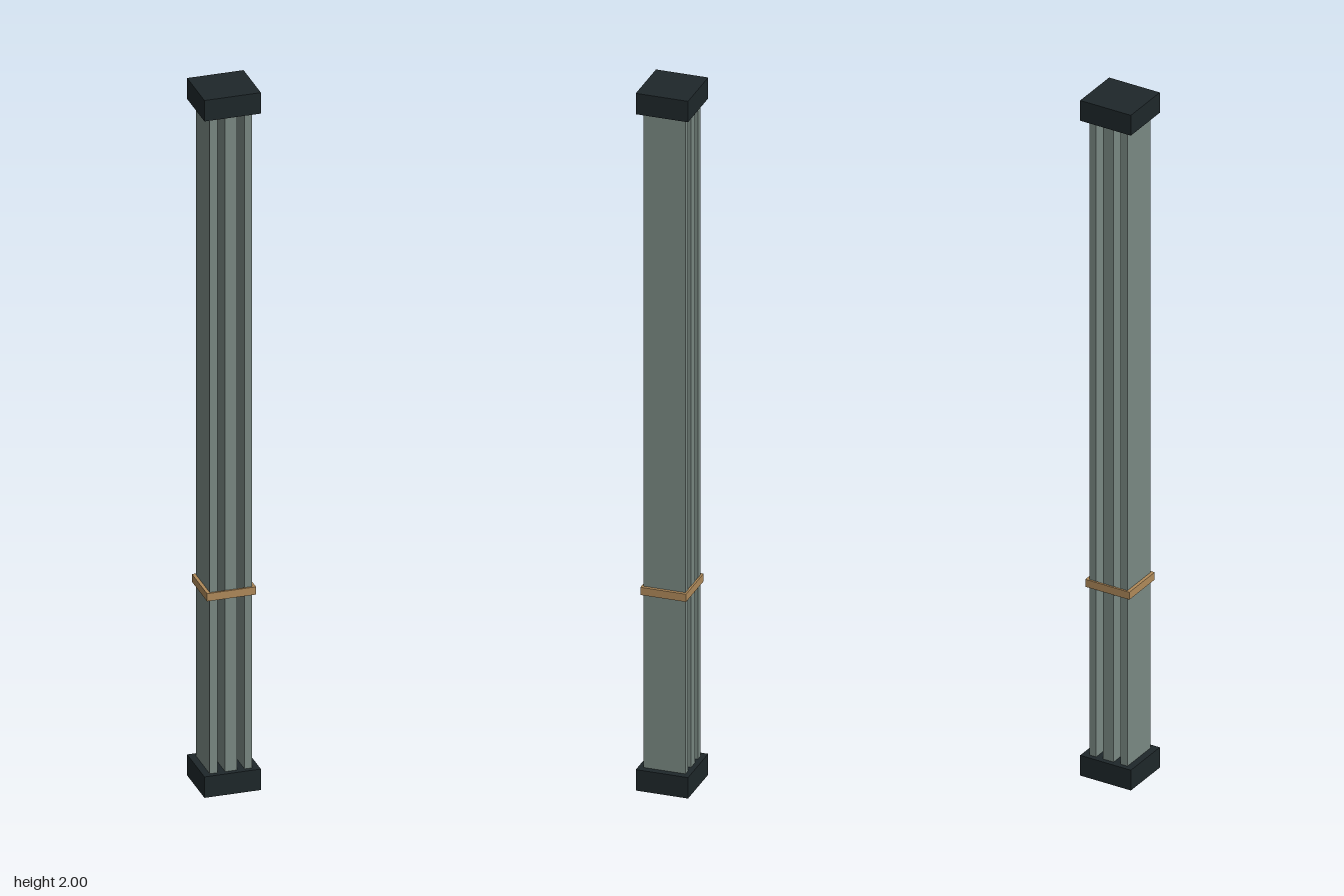
import * as THREE from 'three';

const paneMaterial = new THREE.MeshStandardMaterial({ color: 0x7a8983 });
const capMaterial = new THREE.MeshStandardMaterial({ color: 0x1e272a });
const bandMaterial = new THREE.MeshStandardMaterial({ color: 0xb08a5a });

function addBox(parent, name, material, size, position) {
  const mesh = new THREE.Mesh(new THREE.BoxGeometry(...size), material);
  mesh.name = name;
  mesh.position.set(...position);
  parent.add(mesh);
}

export function createModel() {
  const model = new THREE.Group();
  model.name = 'column';

  // End blocks
  const capHeight = 0.06;
  addBox(model, 'bottomCap', capMaterial, [0.154, capHeight, 0.144], [0, capHeight / 2, 0]);
  addBox(model, 'topCap', capMaterial, [0.154, capHeight, 0.144], [0, 2 - capHeight / 2, 0]);

  // Three upright panes with open gaps between them, set into the end blocks
  const panes = [['rightPane', -0.0475, 0.021], ['middlePane', 0, 0.032], ['leftPane', 0.0475, 0.021]];
  for (const [name, x, width] of panes) {
    addBox(model, name, paneMaterial, [width, 1.92, 0.116], [x, 1, 0]);
  }

  // Band wrapped around the panes
  const band = new THREE.Group();
  band.name = 'band';
  band.position.y = 0.569;
  model.add(band);
  for (const side of [-1, 1]) {
    addBox(band, side > 0 ? 'bandFront' : 'bandBack', bandMaterial, [0.134, 0.022, 0.006], [0, 0, side * 0.06]);
    addBox(band, side > 0 ? 'bandLeft' : 'bandRight', bandMaterial, [0.009, 0.022, 0.114], [side * 0.0625, 0, 0]);
  }

  return model;
}
